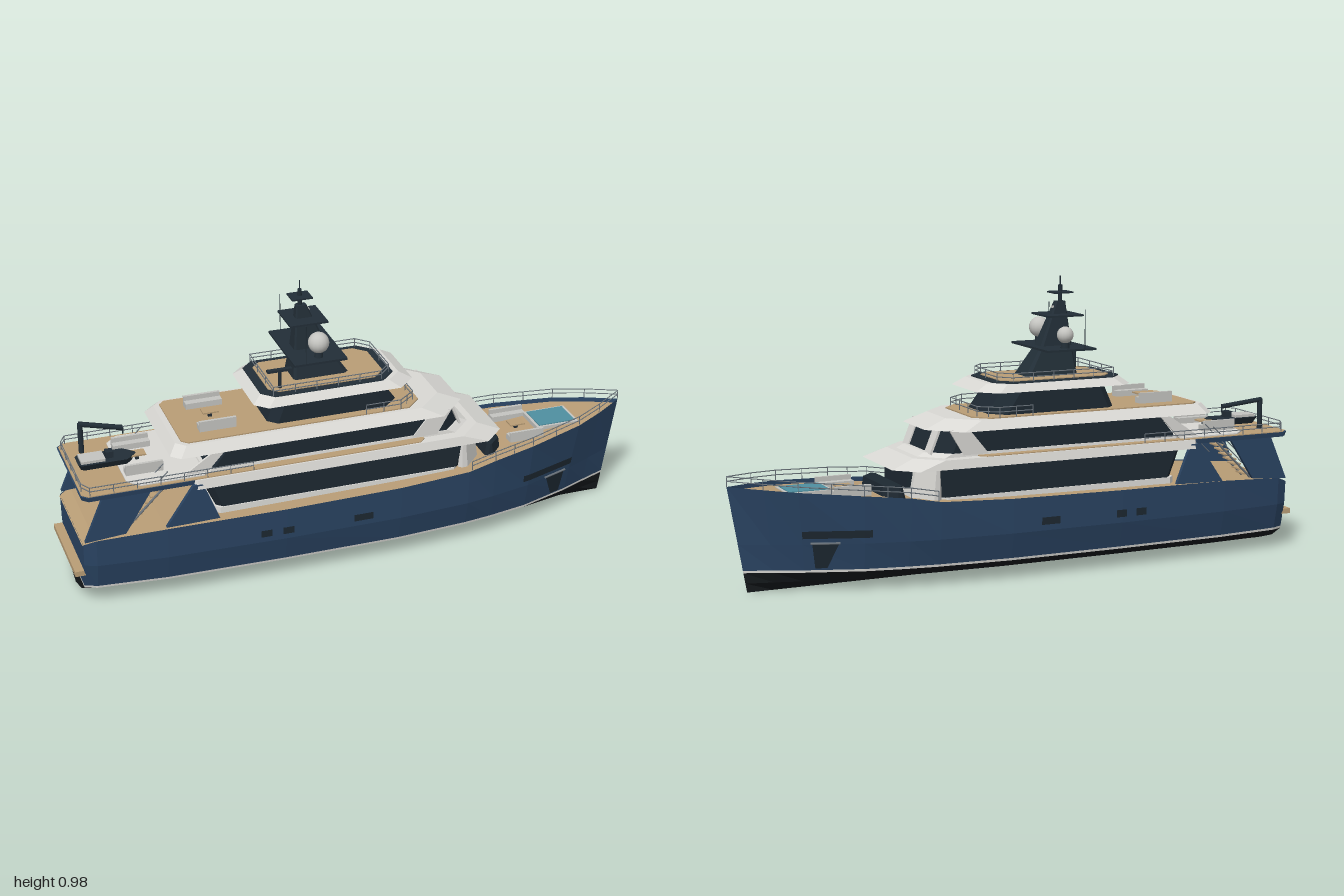
import * as THREE from 'three';

const paint = (name, color, side = THREE.FrontSide) => {
  const m = new THREE.MeshStandardMaterial({ color, side });
  m.name = name;
  return m;
};
const V = (x, y, z) => new THREE.Vector3(x, y, z);

// Hull stations: x, waterline half-width, mid half-width, deck half-width, sheer height
const STATIONS = [
  [-0.97, .15, .172, .177, .238], [-0.93, .168, .19, .195, .255], [-0.7, .19, .213, .218, .268],
  [-0.3, .2, .225, .23, .272], [0.1, .2, .224, .229, .277], [0.35, .182, .207, .215, .285],
  [0.45, .168, .19, .203, .303], [0.6, .14, .158, .175, .318], [0.8, .077, .09, .115, .335],
  [0.9, .038, .046, .064, .343], [1.0, .001, .001, .002, .35]];

function station(x) {
  let i = 0;
  while (i < STATIONS.length - 2 && x > STATIONS[i + 1][0]) i++;
  const a = STATIONS[i], b = STATIONS[i + 1], t = (x - a[0]) / (b[0] - a[0]);
  return a.map((v, k) => v + (b[k] - v) * t);
}
// Point on the hull skin; the stem rakes forward towards the bow
function hullPoint(x, y, side, out = 0) {
  const [, wl, wm, wd, top] = station(x);
  const knots = [[0, 0], [.03, wl * .64], [.065, wl], [.075, wl * 1.01], [.16, wm], [top, wd]];
  let i = 0;
  while (i < 4 && y > knots[i + 1][0]) i++;
  const [y0, w0] = knots[i], [y1, w1] = knots[i + 1];
  const w = w0 + (w1 - w0) * (y - y0) / (y1 - y0);
  return V(x - .06 * Math.max(0, (x - .5) / .5) * (1 - y / top), y, side * (w + out));
}

// Faceted skin through rows of points
function loft(rows) {
  const pos = [];
  for (let i = 0; i < rows.length - 1; i++)
    for (let j = 0; j < rows[i].length - 1; j++) {
      const a = rows[i][j], b = rows[i][j + 1], c = rows[i + 1][j + 1], d = rows[i + 1][j];
      for (const p of [a, b, c, a, c, d]) pos.push(p.x, p.y, p.z);
    }
  const g = new THREE.BufferGeometry();
  g.setAttribute('position', new THREE.Float32BufferAttribute(pos, 3));
  g.computeVertexNormals();
  return g;
}
// Plan outline: aft x, front x, half-width, aft and front corner chamfers
function outline([x0, x1, w, ca = .02, cf = .02], y) {
  const p = [[x1, w - cf], [x1, cf - w], [x1 - cf, -w], [x0 + ca, -w], [x0, ca - w], [x0, w - ca], [x0 + ca, w], [x1 - cf, w]];
  return [...p, p[0]].map(([x, z]) => V(x, y, z));
}
function slab(bottom, top, y0, y1) {
  const b = outline(bottom, y0), t = outline(top, y1);
  return loft([b.map(() => V((bottom[0] + bottom[1]) / 2, y0, 0)), b, t, t.map(() => V((top[0] + top[1]) / 2, y1, 0))]);
}

export function createModel() {
  const model = new THREE.Group();
  model.name = 'motorYacht';
  const D = THREE.DoubleSide;
  const navy = paint('navy', 0x2a4463, D), black = paint('antifouling', 0x15191c, D), white = paint('white', 0xd9d8d4, D);
  const glass = paint('darkGlass', 0x1d2831), teak = paint('teak', 0xb99d76, D), steel = paint('steel', 0x6f7880);
  const dark = paint('darkSteel', 0x222e37), teal = paint('poolWater', 0x4f8fa0), cushion = paint('cushion', 0xc4c4c0);

  const add = (name, geo, mat, x = 0, y = 0, z = 0) => {
    const m = new THREE.Mesh(geo, mat);
    m.name = name;
    m.position.set(x, y, z);
    model.add(m);
    return m;
  };
  const box = (name, mat, x0, x1, y0, y1, z0, z1) => add(name, new THREE.BoxGeometry(x1 - x0, y1 - y0, z1 - z0), mat,
    (x0 + x1) / 2, (y0 + y1) / 2, (z0 + z1) / 2);
  const rod = (name, a, b, r, mat, sides = 5) => {
    const d = b.clone().sub(a), m = add(name, new THREE.CylinderGeometry(r, r, d.length(), sides), mat);
    m.position.copy(a).lerp(b, .5);
    m.quaternion.setFromUnitVectors(V(0, 1, 0), d.normalize());
  };
  // Side-profile plate centred on z
  const plate = (name, mat, pts, z, t) => {
    const g = new THREE.ExtrudeGeometry(new THREE.Shape(pts.map(p => new THREE.Vector2(...p))), { depth: t, bevelEnabled: false });
    return add(name, g, mat, 0, 0, z - t / 2);
  };
  // Railing with posts and two bars
  const rail = (path, h, step = .08) => {
    for (let i = 0; i < path.length - 1; i++) {
      const a = path[i], b = path[i + 1], n = Math.max(1, Math.round(a.distanceTo(b) / step));
      for (const k of [1, .55]) rod('railBar', a.clone().setY(a.y + h * k), b.clone().setY(b.y + h * k), .0018, steel);
      for (let j = 0; j <= n; j++) {
        const p = a.clone().lerp(b, j / n);
        rod('railPost', p, p.clone().setY(p.y + h), .0016, steel);
      }
    }
  };

  // Hull: bottom, boot stripe and topsides
  const bands = [['hullBottom', black, [0, .03, .065]], ['bootStripe', white, [.065, .073]], ['topsides', navy, [.073, .16, 1]]];
  for (const [name, mat, ys] of bands) {
    const level = (x, y) => (y === 1 ? station(x)[4] : y);
    for (const s of [1, -1])
      add(name, loft(STATIONS.map(([x]) => {
        const col = ys.map(y => hullPoint(x, level(x, y), s));
        return s > 0 ? col.reverse() : col;
      })), mat);
    add(name + 'Transom', loft(ys.map(y => [-1, 1].map(s => hullPoint(-.97, level(-.97, y), s)))), mat);
  }
  add('mainDeck', loft(STATIONS.map(([x, , , wd, top]) => [-1, 1].map(s =>
    V(x - .003, top - (x > .4 ? .014 : .003), s * Math.max(.0005, wd - .004))))), teak);
  box('swimPlatform', teak, -1, -.965, .118, .136, -.165, .165);

  // Hull windows and anchor pockets follow the skin
  for (const s of [1, -1]) {
    for (const [x0, x1] of [[-.39, -.352], [-.315, -.277], [-.067, 0], [.575, .8]]) {
      const rows = Array.from({ length: 9 }, (_, i) => [.205, .18].map(y => hullPoint(x0 + (x1 - x0) * i / 8, y, s, .003)));
      add('hullWindow', loft(s > 0 ? rows : rows.reverse()), glass);
    }
    const pocket = [0, .5, 1].map(t => [hullPoint(.685 + .085 * t, .16, s, .004), hullPoint(.725 + .04 * t, .08, s, .004)]);
    add('anchorPocket', loft(s > 0 ? pocket : pocket.reverse()), glass);
    rod('anchorLip', hullPoint(.68, .164, s, .004), hullPoint(.775, .164, s, .004), .004, steel);
  }

  // Main deck house
  add('mainHouseBase', slab([-.53, .36, .174, .02, .05], [-.53, .36, .172, .02, .05], .255, .288), white);
  add('mainHouseGlass', slab([-.52, .35, .168, .02, .03], [-.56, .37, .168, .02, .03], .288, .392), glass);
  add('mainHouseFront', slab([.33, .42, .172, .01, .06], [.33, .4, .172, .01, .05], .28, .392), white);
  box('mainFrontWindow', glass, .405, .425, .315, .378, -.1, .1);
  add('foredeckCoaming', slab([.44, .51, .135, .01, .04], [.45, .505, .13, .01, .04], .285, .33), glass);

  // Upper deck and forward canopy
  add('upperDeckSlab', slab([-.6, .49, .206, .01, .07], [-.6, .41, .198, .01, .08], .386, .416), white);
  add('upperDeckAft', slab([-.965, -.59, .192, .02, .01], [-.97, -.59, .195, .02, .01], .4, .416), navy);
  add('upperDeckTeak', slab([-.965, .2, .192, .02, .02], [-.965, .2, .192, .02, .02], .415, .419), teak);
  add('aftLounge', slab([-.81, -.55, .178, .04, .01], [-.81, -.55, .178, .04, .01], .417, .423), white);

  // Bridge house
  add('bridgeGlass', slab([-.55, .35, .157, .02, .06], [-.48, .315, .155, .02, .06], .418, .505), glass);
  add('bridgeSill', slab([-.56, .39, .162, .02, .07], [-.555, .36, .16, .02, .07], .414, .428), white);
  for (const s of [1, -1]) {
    plate('bridgeSidePillar', white, [[.16, .42], [.25, .42], [.3, .505], [.23, .505]], s * .157, .008);
    const p = box('bridgeFrontPillar', white, .329, .337, .42, .505, s * .095 - .024, s * .095 + .024);
    p.rotation.z = .39;
    plate('bridgeAftPillar', white, [[-.63, .418], [-.55, .418], [-.47, .505], [-.5, .505]], s * .158, .008);
  }
  add('bridgeRoof', slab([-.67, .36, .196, .03, .1], [-.645, .28, .17, .03, .09], .502, .533), white);
  add('skyDeckTeak', slab([-.625, .2, .157, .02, .05], [-.625, .2, .157, .02, .05], .532, .537), teak);

  // Sky lounge and its roof
  add('skyLoungeGlass', slab([-.325, .13, .128, .03, .05], [-.29, .07, .122, .03, .05], .536, .62), glass);
  add('skyRoof', slab([-.375, .18, .162, .04, .06], [-.345, .135, .14, .04, .05], .615, .64), white);
  add('skyRoofCoaming', slab([-.345, .115, .14, .04, .05], [-.345, .115, .138, .04, .05], .638, .644), dark);
  add('skyRoofTeak', slab([-.315, .085, .115, .03, .04], [-.315, .085, .115, .03, .04], .643, .647), teak);

  // Mast with platform, yards, domes and aerials
  add('mastBase', slab([-.215, -.025, .056, .008, .012], [-.205, -.09, .032, .006, .008], .645, .742), dark);
  add('mastUpper', slab([-.205, -.09, .032, .006, .008], [-.19, -.155, .012, .004, .004], .742, .89), dark);
  box('mastPlatform', dark, -.24, -.06, .736, .743, -.142, .142);
  box('mastYard', dark, -.23, -.1, .842, .848, -.068, .068);
  box('mastTopYard', dark, -.21, -.14, .917, .922, -.03, .03);
  box('mastLight', cushion, -.155, -.145, .865, .875, -.01, .01);
  rod('mastPole', V(-.175, .88, 0), V(-.175, .945, 0), .007, dark, 6);
  rod('mastTip', V(-.175, .94, 0), V(-.175, .975, 0), .0022, dark);
  for (const [z, r, y] of [[.1, .035, .793], [-.1, .028, .787]]) {
    add('satelliteDome', new THREE.SphereGeometry(r, 16, 12), cushion, -.145, y, z);
    add('domeBase', new THREE.CylinderGeometry(.014, .016, .022, 8), dark, -.145, .75, z);
  }
  for (const s of [1, -1]) rod('aerial', V(-.2, .74, s * .138), V(-.2, .873, s * .138), .0015, dark);
  rod('radarPost', V(-.275, .64, .09), V(-.275, .712, .09), .006, dark, 6);
  box('radarBar', dark, -.318, -.235, .706, .714, .082, .098);

  // Sofas and tables on three decks, foredeck pool
  for (const [x, y, w] of [[-.49, .537, .085], [-.74, .423, .088], [.61, .303, .08]]) {
    for (const s of [1, -1]) {
      box('sofaSeat', cushion, x - .062, x + .062, y, y + .02, s * w - .018, s * w + .018);
      box('sofaBack', cushion, x - .062, x + .062, y + .018, y + .036, s * (w + .013) - .005, s * (w + .013) + .005);
    }
    box('tableTop', teak, x - .027, x + .027, y + .018, y + .023, -.02, .02);
    box('tableLeg', dark, x - .006, x + .006, y, y + .018, -.006, .006);
  }
  box('poolRim', cushion, .665, .82, .3, .325, -.063, .063);
  box('poolWater', teal, .675, .81, .31, .328, -.054, .054);

  // Aft wing panels, fins and stairs
  for (const s of [1, -1]) {
    plate('sternWing', navy, [[-.965, .25], [-.83, .26], [-.74, .402], [-.9, .402]], s * .18, .014);
    plate('sideFin', navy, [[-.7, .264], [-.52, .268], [-.56, .37], [-.575, .402], [-.605, .402]], s * .196, .014);
    for (let i = 0; i < 8; i++)
      box('stairTread', teak, -.83 + i * .018, -.805 + i * .018, .272 + i * .018, .277 + i * .018, s * .14 - .026, s * .14 + .026);
    for (const dz of [-.028, .028]) {
      const z = s * .14 + dz;
      rod('stairStringer', V(-.83, .262, z), V(-.68, .41, z), .004, steel);
      rod('stairHandrail', V(-.83, .305, z), V(-.68, .45, z), .002, steel);
    }
  }

  // Crane and tender on the aft upper deck
  rod('cranePost', V(-.9, .415, -.11), V(-.9, .525, -.11), .009, dark, 8);
  rod('craneArm', V(-.905, .523, -.112), V(-.765, .502, -.08), .009, dark, 6);
  rod('craneHook', V(-.765, .502, -.08), V(-.765, .48, -.08), .003, dark);
  add('tenderHull', slab([-.93, -.76, .026, .01, .02], [-.94, -.745, .04, .01, .035], .424, .448), dark);
  box('tenderSeat', cushion, -.93, -.85, .446, .457, -.03, .03);
  box('tenderConsole', dark, -.845, -.82, .446, .47, -.014, .014);

  // Railings
  const bow = [.36, .45, .6, .7, .8, .9, 1];
  for (const s of [1, -1]) {
    rail(bow.map(x => hullPoint(x, station(x)[4], s, -.002)), .034);
    rail([V(-.96, .418, s * .15), V(-.94, .418, s * .188), V(-.4, .418, s * .192)], .03);
    rail([V(0, .535, s * .158), V(.12, .535, s * .158), V(.18, .535, s * .11)], .034, .05);
    rail([V(-.31, .643, s * .132), V(.06, .643, s * .132), V(.1, .643, s * .09)], .03);
  }
  rail([V(-.96, .418, -.15), V(-.96, .418, .15)], .03);
  rail([V(.18, .535, -.11), V(.18, .535, .11)], .034);
  rail([V(.1, .643, -.09), V(.1, .643, .09)], .03);
  rail([V(-.31, .643, -.132), V(-.31, .643, .132)], .03);
  return model;
}
